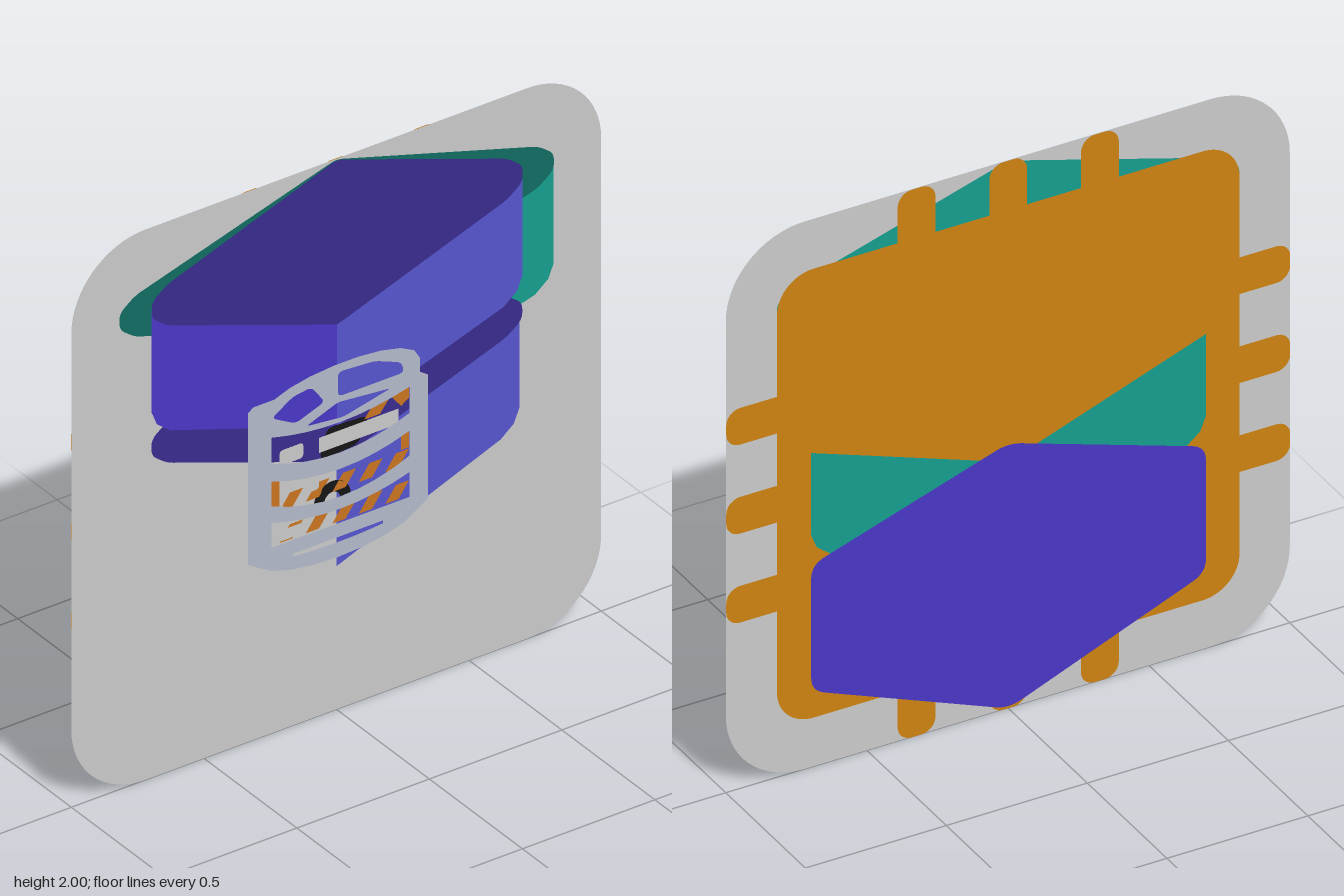
import * as THREE from 'three';

const STEP = 0.001; // gap between stacked flat layers
const GREY = 0xcccccc, DEEP = 0x392c8e, VIOLET = 0x4a38c8, LILAC = 0x5655d0;
const TEAL = 0x149f8f, DARK_TEAL = 0x116d62, AMBER = 0xcf8411, ORANGE = 0xcb741f;
const STEEL = 0xb3bacb, BLACK = 0x151515;

// Closed polygon whose corners are rounded by a distance r
function poly(points, r = 0, Type = THREE.Shape) {
  const path = new Type();
  const v = points.map(([x, y]) => new THREE.Vector2(x, y));
  v.forEach((p, i) => {
    const a = v[(i + v.length - 1) % v.length], b = v[(i + 1) % v.length];
    const toward = (q) => p.clone().lerp(q, Math.min(0.5, r / p.distanceTo(q)));
    const s = toward(a), e = toward(b);
    if (i === 0) path.moveTo(s.x, s.y); else path.lineTo(s.x, s.y);
    if (r > 0) path.quadraticCurveTo(p.x, p.y, e.x, e.y);
  });
  path.closePath();
  return path;
}

const rect = (x0, y0, x1, y1) => [[x0, y0], [x1, y0], [x1, y1], [x0, y1]];

// Rectangle with circular corners
function roundRect(x0, y0, x1, y1, r) {
  const s = new THREE.Shape();
  s.absarc(x1 - r, y1 - r, r, 0, Math.PI / 2);
  s.absarc(x0 + r, y1 - r, r, Math.PI / 2, Math.PI);
  s.absarc(x0 + r, y0 + r, r, Math.PI, Math.PI * 1.5);
  s.absarc(x1 - r, y0 + r, r, Math.PI * 1.5, Math.PI * 2);
  s.closePath();
  return s;
}

// Flat lozenge with blunt side tips
const lozenge = (w, top, mid, bottom) => poly([
  [0, top], [w - 0.06, mid + 0.075], [w, mid + 0.03], [w, mid - 0.03], [w - 0.06, mid - 0.075],
  [0, bottom], [-w + 0.06, mid - 0.075], [-w, mid - 0.03], [-w, mid + 0.03], [-w + 0.06, mid + 0.075],
], 0.025);

// One slanted side wall of a tier; side is +1 or -1
const wall = (side, w, topOut, topIn, lowOut, lowIn) => poly([
  [0, topIn], [side * w, topOut], [side * w, lowOut + 0.05],
  [side * (w - 0.02), lowOut], [side * (w - 0.07), lowOut - 0.04], [0, lowIn],
]);

// Curved slot between two sagging edges
function slot(x0, x1, top, topSag, low, lowSag) {
  const p = new THREE.Path(), m = (x0 + x1) / 2;
  p.moveTo(x0, low);
  p.quadraticCurveTo(m, low - 2 * lowSag, x1, low);
  p.lineTo(x1, top);
  p.quadraticCurveTo(m, top - 2 * topSag, x0, top);
  p.closePath();
  return p;
}

export function createModel() {
  const model = new THREE.Group();
  const materials = {};
  function add(name, shapes, color, layer) {
    materials[color] ??= new THREE.MeshStandardMaterial({ color, side: THREE.DoubleSide });
    const mesh = new THREE.Mesh(new THREE.ShapeGeometry(shapes, 8), materials[color]);
    mesh.name = name;
    mesh.position.z = layer * STEP;
    model.add(mesh);
  }

  // Backing plate
  add('plate', roundRect(-1, 0, 1, 2, 0.28), GREY, 0);

  // Chip on the back, with three pins on every edge
  add('chipBody', roundRect(-0.82, 0.18, 0.82, 1.82, 0.13), AMBER, -3);
  const pins = [];
  for (const o of [-0.325, 0, 0.325]) {
    for (const [a, b] of [[-1, -0.75], [0.75, 1]]) {
      pins.push(roundRect(o - 0.067, 1 + a, o + 0.067, 1 + b, 0.05));
      pins.push(roundRect(a, 1 + o - 0.067, b, 1 + o + 0.067, 0.05));
    }
  }
  add('chipPins', pins, AMBER, -3);

  // Tiers seen from the back
  add('backTopTier', lozenge(0.82, 2, 1.7, 1.4), TEAL, -2);
  for (const s of [-1, 1]) add('backMiddleWall', wall(s, 0.7, 1.15, 0.9, 0.8, 0.5), TEAL, -4);
  add('backBottomTier', poly([
    [0, 0.97], [0.7, 0.74], [0.7, 0.28], [0, 0], [-0.7, 0.28], [-0.7, 0.74],
  ], 0.05), VIOLET, -5);

  // Teal tier behind the top tier
  add('shadowWall', wall(1, 0.82, 1.7, 1.4, 1.28, 1.03), TEAL, 1);
  add('shadowTop', lozenge(0.82, 2, 1.7, 1.4), DARK_TEAL, 2);

  // Middle tier
  add('middleWallLeft', wall(1, 0.69, 1.2, 0.9, 0.8, 0.52), LILAC, 1);
  add('middleWallRight', wall(-1, 0.69, 1.2, 0.9, 0.8, 0.52), VIOLET, -1);
  add('middleTop', lozenge(0.7, 1.5, 1.2, 0.9), DEEP, 3);

  // Top tier
  add('topWallLeft', wall(1, 0.7, 1.7, 1.4, 1.28, 1.03), LILAC, 4);
  add('topWallRight', wall(-1, 0.7, 1.7, 1.4, 1.28, 1.03), VIOLET, 4);
  add('topFace', lozenge(0.7, 2, 1.7, 1.4), DEEP, 5);

  // Striped bars, pale tabs and dark arcs inside the drum
  const stripes = [];
  for (const y of [0.685, 0.8]) {
    for (let i = 0; i < 5; i++) {
      const x = -0.22 + i * 0.1;
      stripes.push(poly([[x, y], [x + 0.05, y], [x + 0.09, y + 0.055], [x + 0.04, y + 0.055]]));
    }
  }
  stripes.push(poly(rect(-0.25, 0.8, -0.22, 0.92)), poly(rect(0.24, 0.86, 0.27, 0.92)));
  stripes.push(poly([[0.1, 1.02], [0.16, 1.02], [0.2, 1.07], [0.14, 1.07]]));
  stripes.push(poly([[0.24, 1.02], [0.27, 1.04], [0.27, 1.08], [0.2, 1.07]]));
  add('stripes', stripes, ORANGE, 7);
  add('paleTabs', [
    poly(rect(-0.07, 0.96, 0.23, 1.015)), poly(rect(-0.22, 0.965, -0.13, 1.02), 0.015),
    poly(rect(-0.13, 0.83, -0.07, 0.89), 0.015), poly(rect(-0.25, 0.69, -0.14, 0.73)),
  ], GREY, 8);
  const arc = new THREE.Shape();
  arc.absarc(-0.02, 0.77, 0.07, 0, Math.PI, false);
  arc.absarc(-0.02, 0.77, 0.03, Math.PI, 0, true);
  arc.closePath();
  add('darkArcs', [arc, poly([[-0.07, 0.93], [0.08, 0.94], [0.12, 1.03], [-0.04, 1.04]], 0.03)], BLACK, 7);

  // Drum frame with open lid and three curved slots
  const drum = new THREE.Shape();
  drum.moveTo(-0.34, 0.65);
  drum.lineTo(-0.34, 1.2);
  drum.lineTo(-0.32, 1.215);
  drum.lineTo(-0.24, 1.215);
  drum.bezierCurveTo(-0.12, 1.28, 0.3, 1.28, 0.31, 1.17);
  drum.lineTo(0.31, 1.12);
  drum.lineTo(0.34, 1.1);
  drum.lineTo(0.34, 0.65);
  drum.lineTo(0.3, 0.625);
  drum.bezierCurveTo(0.2, 0.535, -0.2, 0.535, -0.3, 0.625);
  drum.closePath();
  drum.holes.push(
    poly([[0, 1.14], [0.25, 1.14], [0.24, 1.18], [0.14, 1.22], [0, 1.23]], 0.02, THREE.Path),
    poly([[-0.25, 1.15], [-0.16, 1.1], [-0.05, 1.14], [-0.1, 1.21], [-0.17, 1.2]], 0.02, THREE.Path),
    poly([[-0.12, 1.075], [0.02, 1.06], [0.2, 1.1], [0, 1.12]], 0.015, THREE.Path),
    slot(-0.25, 0.27, 1.08, 0.035, 0.985, 0.05),
    slot(-0.25, 0.27, 0.92, 0.045, 0.83, 0.055),
    slot(-0.25, 0.27, 0.77, 0.04, 0.68, 0),
    slot(-0.17, 0.17, 0.63, 0, 0.62, 0.008),
  );
  add('drumFrame', drum, STEEL, 9);

  return model;
}
